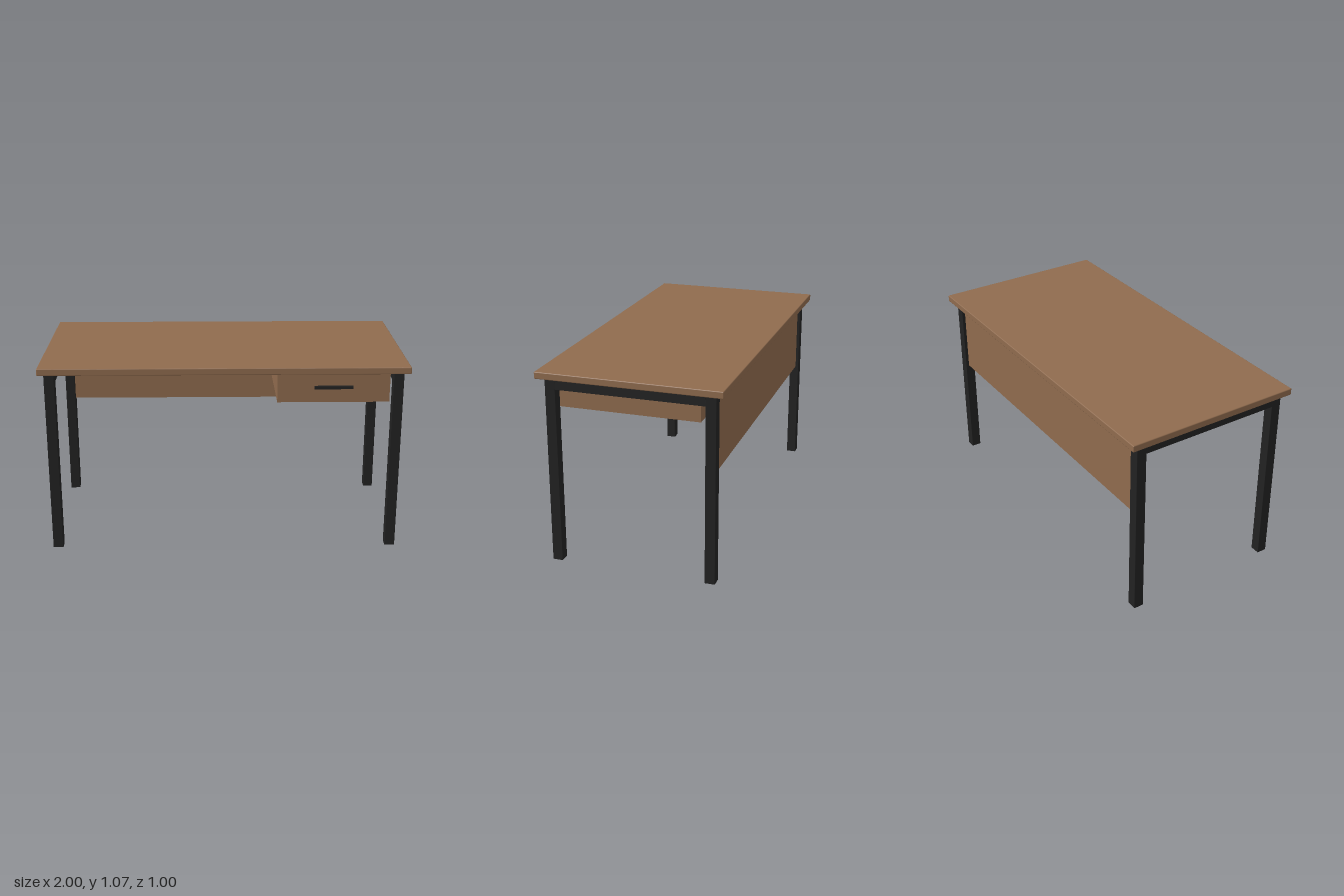
import * as THREE from 'three';
import { RoundedBoxGeometry } from 'three/addons/geometries/RoundedBoxGeometry.js';

const wood = new THREE.MeshStandardMaterial({ color: 0x8f6b4e });
wood.name = 'brown wood';
const metal = new THREE.MeshStandardMaterial({ color: 0x222222 });
metal.name = 'black metal';

// Box given by its min and max corners, with an optional softened edge
function block(name, material, min, max, edge = 0) {
  const size = max.map((v, i) => v - min[i]);
  const geometry = edge
    ? new RoundedBoxGeometry(...size, 2, edge)
    : new THREE.BoxGeometry(...size);
  const mesh = new THREE.Mesh(geometry, material);
  mesh.name = name;
  mesh.position.set(...max.map((v, i) => (v + min[i]) / 2));
  return mesh;
}

export function createModel() {
  const desk = new THREE.Group();
  desk.name = 'desk';

  // Table top
  desk.add(block('tableTop', wood, [-1, 1.032, -0.5], [1, 1.07, 0.5], 0.005));

  // End frames: two legs joined by a rail under the top
  for (const side of [-1, 1]) {
    const frame = new THREE.Group();
    frame.name = side > 0 ? 'leftFrame' : 'rightFrame';
    frame.position.x = side * 0.942;
    for (const end of [-1, 1]) {
      const leg = block(end > 0 ? 'frontLeg' : 'backLeg', metal,
        [-0.028, 0, -0.028], [0.028, 1.032, 0.028], 0.002);
      leg.position.z = end * 0.428;
      frame.add(leg);
    }
    frame.add(block('topRail', metal, [-0.028, 0.975, -0.401], [0.028, 1.032, 0.401]));
    desk.add(frame);
  }

  // Panel between the back legs
  desk.add(block('backPanel', wood, [-0.915, 0.603, -0.438], [0.915, 1.0, -0.418]));

  // Drawer hung under the left end, with a bar handle
  const drawer = new THREE.Group();
  drawer.name = 'drawer';
  drawer.add(block('drawerBox', wood, [0.287, 0.86, -0.355], [0.897, 1.032, 0.445]));
  drawer.add(block('drawerHandle', metal, [0.487, 0.938, 0.445], [0.697, 0.953, 0.462]));
  desk.add(drawer);

  return desk;
}
